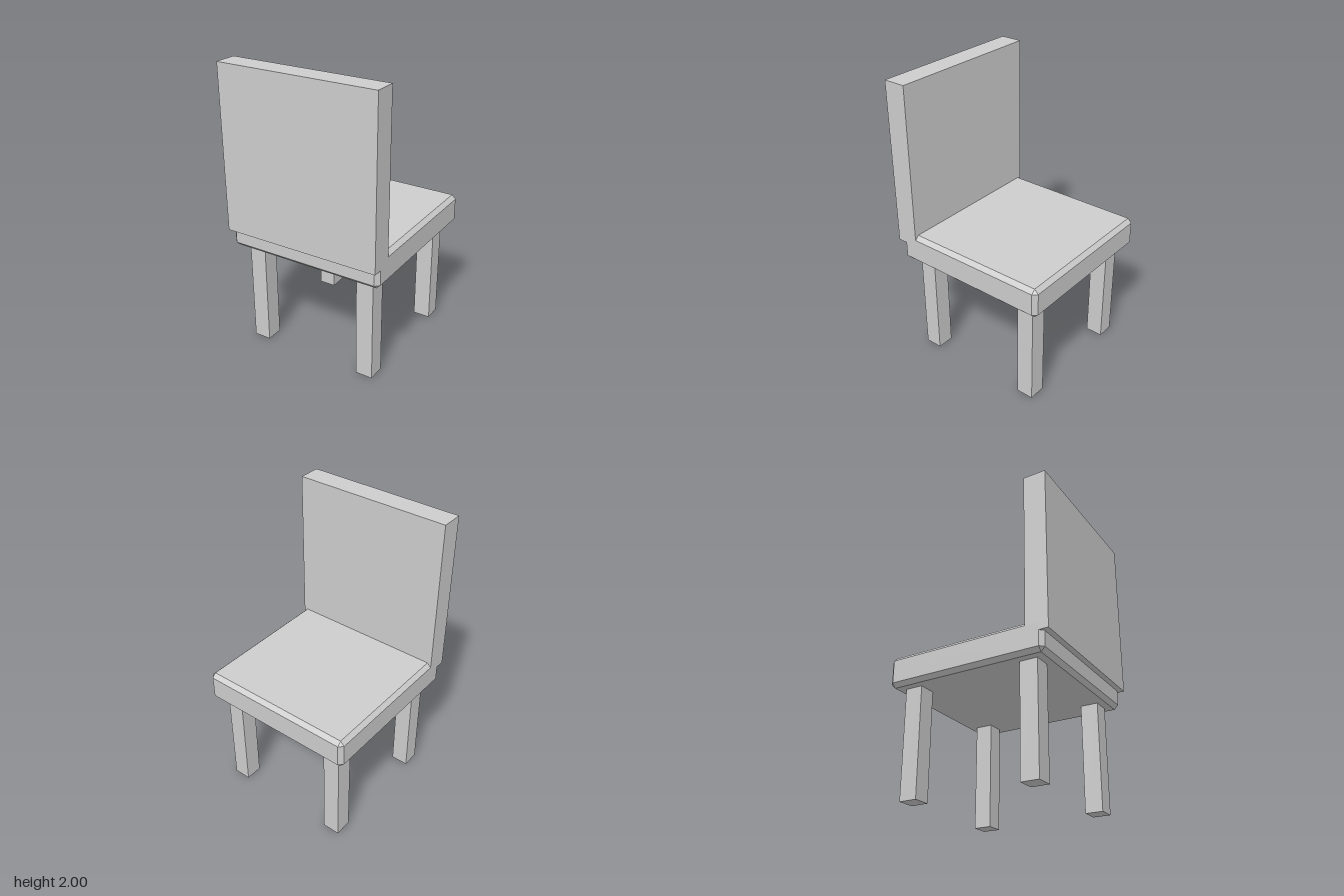
import * as THREE from 'three';
import { ConvexGeometry } from 'three/addons/geometries/ConvexGeometry.js';

// Box with every edge and corner cut flat
function chamferedBox(w, h, d, c) {
  const points = [];
  for (const sx of [-1, 1]) for (const sy of [-1, 1]) for (const sz of [-1, 1]) {
    const x = w / 2, y = h / 2, z = d / 2;
    points.push(
      new THREE.Vector3(sx * x, sy * (y - c), sz * (z - c)),
      new THREE.Vector3(sx * (x - c), sy * y, sz * (z - c)),
      new THREE.Vector3(sx * (x - c), sy * (y - c), sz * z)
    );
  }
  return new ConvexGeometry(points);
}

export function createModel() {
  const chair = new THREE.Group();
  chair.name = 'chair';
  const grey = new THREE.MeshStandardMaterial({ color: 0xcccccc });
  grey.name = 'light grey';

  const add = (name, geometry, x, y, z) => {
    const mesh = new THREE.Mesh(geometry, grey);
    mesh.name = name;
    mesh.position.set(x, y, z);
    chair.add(mesh);
  };

  // Seat slab with chamfered edges
  add('seat', chamferedBox(1.116, 0.21, 1.12, 0.028), 0, 0.84, -0.02);

  // Upright backrest, overhanging the seat's edge
  add('backrest', new THREE.BoxGeometry(1.116, 1.133, 0.157), 0, 1.4335, 0.5);

  // Four square legs, reaching just inside the seat
  const leg = new THREE.BoxGeometry(0.121, 0.75, 0.121);
  for (const [side, x] of [['left', 0.418], ['right', -0.418]]) {
    add(side + 'BackrestLeg', leg, x, 0.375, 0.4);
    add(side + 'SeatEdgeLeg', leg, x, 0.375, -0.44);
  }
  return chair;
}
